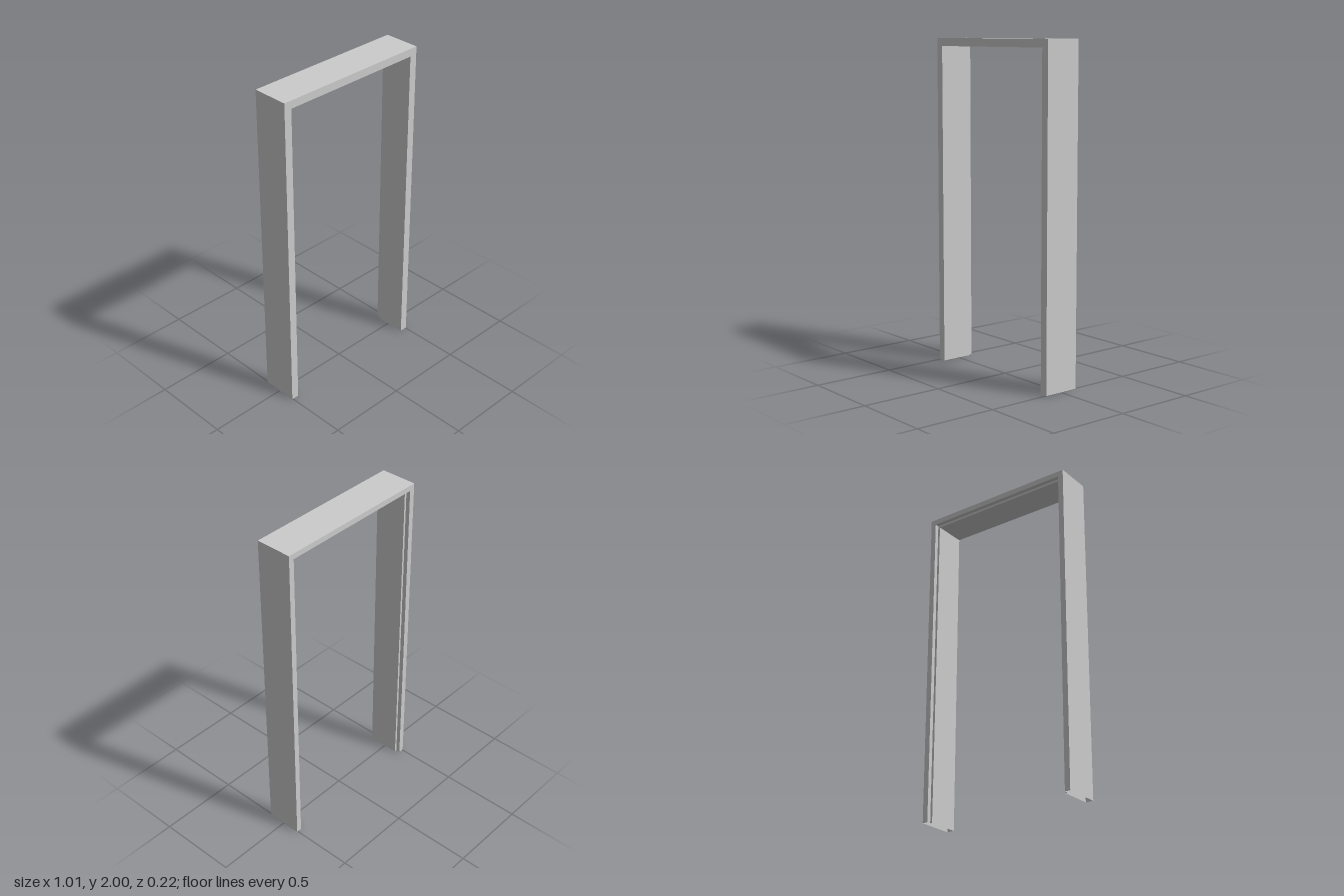
import * as THREE from 'three';

const HALF_W = 0.505, HEIGHT = 2, HALF_D = 0.1125;
const FACE = 0.048;                    // width of the frame seen from the front
const STOP = 0.014, REBATE = 0.026;    // step on the back inner edge that receives the door

// Cross-section: [inset from the outer edge, z]
const section = [
  [0, -HALF_D], [0, HALF_D], [FACE, HALF_D],
  [FACE, -HALF_D + REBATE], [FACE - STOP, -HALF_D + REBATE], [FACE - STOP, -HALF_D],
];

// Corners of the frame's path; each places a section point, mitred at the top
const stations = [
  (u, z) => [HALF_W - u, 0, z],
  (u, z) => [HALF_W - u, HEIGHT - u, z],
  (u, z) => [-HALF_W + u, HEIGHT - u, z],
  (u, z) => [-HALF_W + u, 0, z],
];

// Hollow sheet member between two stations, open at its ends
function member(name, from, to, material) {
  const positions = [];
  section.forEach((p, i) => {
    const q = section[(i + 1) % section.length];
    const a = from(...p), b = from(...q), c = to(...q), d = to(...p);
    positions.push(...a, ...d, ...c, ...a, ...c, ...b);
  });
  const geometry = new THREE.BufferGeometry();
  geometry.setAttribute('position', new THREE.Float32BufferAttribute(positions, 3));
  geometry.computeVertexNormals();
  const mesh = new THREE.Mesh(geometry, material);
  mesh.name = name;
  return mesh;
}

export function createModel() {
  const group = new THREE.Group();
  group.name = 'doorFrame';
  const material = new THREE.MeshStandardMaterial({ color: 0xcccccc, side: THREE.DoubleSide });
  ['leftJamb', 'head', 'rightJamb'].forEach((name, i) =>
    group.add(member(name, stations[i], stations[i + 1], material)));
  return group;
}
